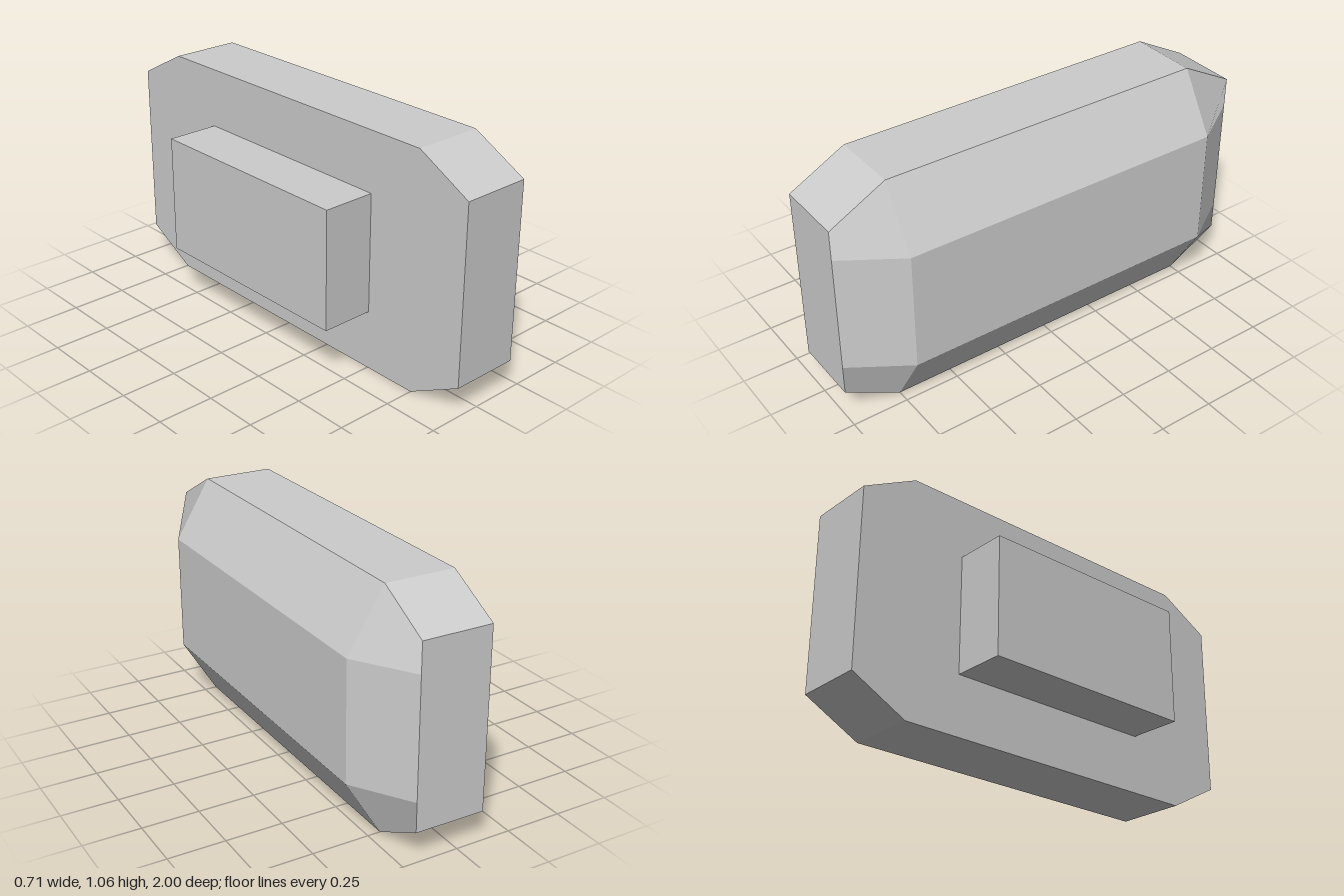
import * as THREE from 'three';

// Half sizes of the side outline: full, chamfer start and flat face
const LEN = 1, FLAT_LEN = 0.75;
const HIGH = 0.53, CHAMFER = 0.397, FLAT_HIGH = 0.265;
const BACK = -0.117, RIM = 0.194, FACE = 0.354;

const material = new THREE.MeshStandardMaterial({ color: 0xcccccc });

function addMesh(group, name, geometry) {
  const mesh = new THREE.Mesh(geometry, material);
  mesh.name = name;
  group.add(mesh);
  return mesh;
}

// Eight-sided slab, drawn on its side and extruded along x
function slabGeometry() {
  const outline = [
    [FLAT_LEN, -HIGH], [LEN, -CHAMFER], [LEN, CHAMFER], [FLAT_LEN, HIGH],
    [-FLAT_LEN, HIGH], [-LEN, CHAMFER], [-LEN, -CHAMFER], [-FLAT_LEN, -HIGH],
  ].map(([u, v]) => new THREE.Vector2(u, v));
  return new THREE.ExtrudeGeometry(new THREE.Shape(outline), { depth: RIM - BACK, bevelEnabled: false })
    .translate(0, 0, BACK).rotateY(Math.PI / 2);
}

// Sloping rim that rises from the slab outline to the flat rectangular face
function bevelGeometry() {
  const positions = [], normals = [];
  // One flat-shaded panel, split from its first corner; mirrored by su, sv
  const panel = (corners, su = 1, sv = 1) => {
    let p = corners.map(([u, v, d]) => new THREE.Vector3(u * su, v * sv, d));
    if (su * sv < 0) p = [p[0], p[3], p[2], p[1]];
    const n = p[2].clone().sub(p[0]).cross(p[3].clone().sub(p[1])).normalize();
    for (const i of [0, 1, 2, 0, 2, 3]) {
      positions.push(...p[i].toArray());
      normals.push(...n.toArray());
    }
  };
  const u = FLAT_LEN, h = FLAT_HIGH;
  panel([[-u, -h, FACE], [u, -h, FACE], [u, h, FACE], [-u, h, FACE]]);
  for (const s of [1, -1]) {
    panel([[-u, h, FACE], [u, h, FACE], [u, HIGH, RIM], [-u, HIGH, RIM]], 1, s);
    panel([[u, -h, FACE], [LEN, -h, RIM], [LEN, h, RIM], [u, h, FACE]], s, 1);
    for (const t of [1, -1]) {
      panel([[u, h, FACE], [LEN, h, RIM], [LEN, CHAMFER, RIM], [u, HIGH, RIM]], s, t);
    }
  }
  const geometry = new THREE.BufferGeometry();
  geometry.setAttribute('position', new THREE.Float32BufferAttribute(positions, 3));
  geometry.setAttribute('normal', new THREE.Float32BufferAttribute(normals, 3));
  return geometry.rotateY(Math.PI / 2);
}

export function createModel() {
  const group = new THREE.Group();
  group.name = 'chamferedPod';

  addMesh(group, 'slab', slabGeometry()).position.y = HIGH;
  addMesh(group, 'bevelledFace', bevelGeometry()).position.y = HIGH;

  // Mounting block on the flat side
  const depth = BACK + FACE;
  const mount = addMesh(group, 'mountingBlock', new THREE.BoxGeometry(depth, FLAT_HIGH * 2, 1));
  mount.position.set(BACK - depth / 2, HIGH, 0);

  return group;
}
